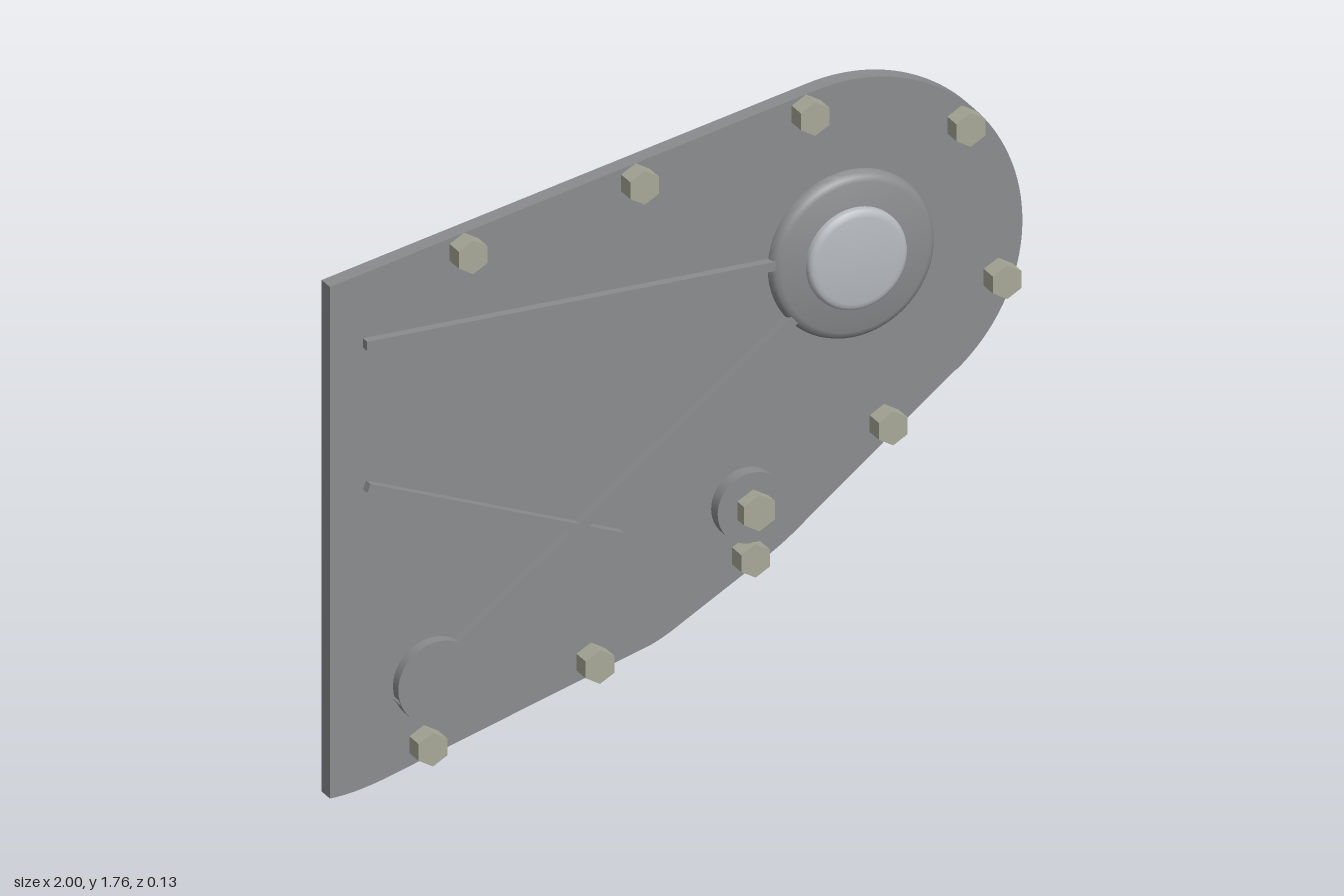
import * as THREE from 'three';
import { toCreasedNormals } from 'three/addons/utils/BufferGeometryUtils.js';

const BACK = -0.064, FACE = -0.014; // plate back and front planes
const steel = new THREE.MeshStandardMaterial({ color: 0x8a8c8e });
const boltSteel = new THREE.MeshStandardMaterial({ color: 0xa8a898 });
const capSteel = new THREE.MeshStandardMaterial({ color: 0xb6babf });

function add(group, name, geometry, material, x = 0, y = 0, z = 0) {
  const mesh = new THREE.Mesh(geometry, material);
  mesh.name = name;
  mesh.position.set(x, y, z);
  group.add(mesh);
  return mesh;
}

// Round or hexagonal part standing on the plate face, axis along z
function stud(group, name, x, y, radius, top, sides, material) {
  const bottom = FACE - 0.01;
  let geo = new THREE.CylinderGeometry(radius, radius, top - bottom, sides).rotateX(Math.PI / 2);
  if (sides === 6) geo = toCreasedNormals(geo, 0.5);
  return add(group, name, geo, material, x, y, (top + bottom) / 2);
}

// Turned part from [radius, z] points
function turned(group, name, x, y, points, material) {
  const profile = points.map(([r, z]) => new THREE.Vector2(r, z));
  const geo = new THREE.LatheGeometry(profile, 64).rotateX(Math.PI / 2);
  return add(group, name, toCreasedNormals(geo, 0.6), material, x, y, 0);
}

// Straight raised rib between two points
function rib(group, name, x1, y1, x2, y2, width, top) {
  const depth = top - FACE + 0.005;
  const geo = new THREE.BoxGeometry(Math.hypot(x2 - x1, y2 - y1), width, depth);
  const mesh = add(group, name, geo, steel, (x1 + x2) / 2, (y1 + y2) / 2, top - depth / 2);
  mesh.rotation.z = Math.atan2(y2 - y1, x2 - x1);
}

export function createModel() {
  const group = new THREE.Group();
  group.name = 'coverPlate';

  // Plate with a round nose and a softly cornered lower edge
  const s = new THREE.Shape();
  s.moveTo(-1, 0.003);
  s.quadraticCurveTo(-0.92, 0.003, -0.8, 0.042);
  s.lineTo(-0.08, 0.26);
  s.quadraticCurveTo(-0.04, 0.273, 0.02, 0.31);
  s.lineTo(0.26, 0.45);
  s.quadraticCurveTo(0.31, 0.478, 0.37, 0.528);
  s.lineTo(0.8, 0.872);
  s.absarc(0.503, 1.265, 0.495, -0.9, 1.773, false);
  s.lineTo(-1, 1.46);
  s.closePath();
  const plate = new THREE.ExtrudeGeometry(s, { depth: FACE - BACK, bevelEnabled: false, curveSegments: 36 });
  add(group, 'plate', toCreasedNormals(plate, 0.5), steel, 0, 0, BACK);

  // Raised ring with a rounded edge, and the domed cap in its middle
  turned(group, 'hubRing', 0.5, 1.268,
    [[0.237, FACE - 0.01], [0.237, -0.006], [0.233, 0.005], [0.225, 0.014], [0.212, 0.019], [0, 0.02]], steel);
  turned(group, 'hubCap', 0.5, 1.268,
    [[0.143, 0.01], [0.143, 0.03], [0.14, 0.038], [0.133, 0.043], [0.122, 0.045], [0, 0.045]], capSteel);

  // Flat pads
  stud(group, 'lowerPad', -0.7, 0.288, 0.118, 0.018, 48, steel);
  stud(group, 'bossPad', 0.2, 0.615, 0.1, 0.025, 48, steel);

  // Ribs
  rib(group, 'upperRib', -0.905, 1.283, 0.3, 1.283, 0.026, 0.012);
  rib(group, 'diagonalRib', -0.81, 0.242, 0.345, 1.132, 0.028, 0.012);
  rib(group, 'shortRib', -0.9, 0.877, -0.167, 0.596, 0.026, 0.012);

  // Hexagonal bolts round the rim
  const bolts = [
    [-0.613, 1.492], [-0.118, 1.594], [0.374, 1.695], [0.823, 1.577], [0.928, 1.123],
    [0.599, 0.77], [0.202, 0.47], [-0.247, 0.254], [-0.729, 0.112],
  ];
  for (const [x, y] of bolts) stud(group, 'rimBolt', x, y, 0.048, 0.041, 6, boltSteel);
  stud(group, 'bossBolt', 0.202, 0.615, 0.052, 0.064, 6, boltSteel);

  return group;
}
